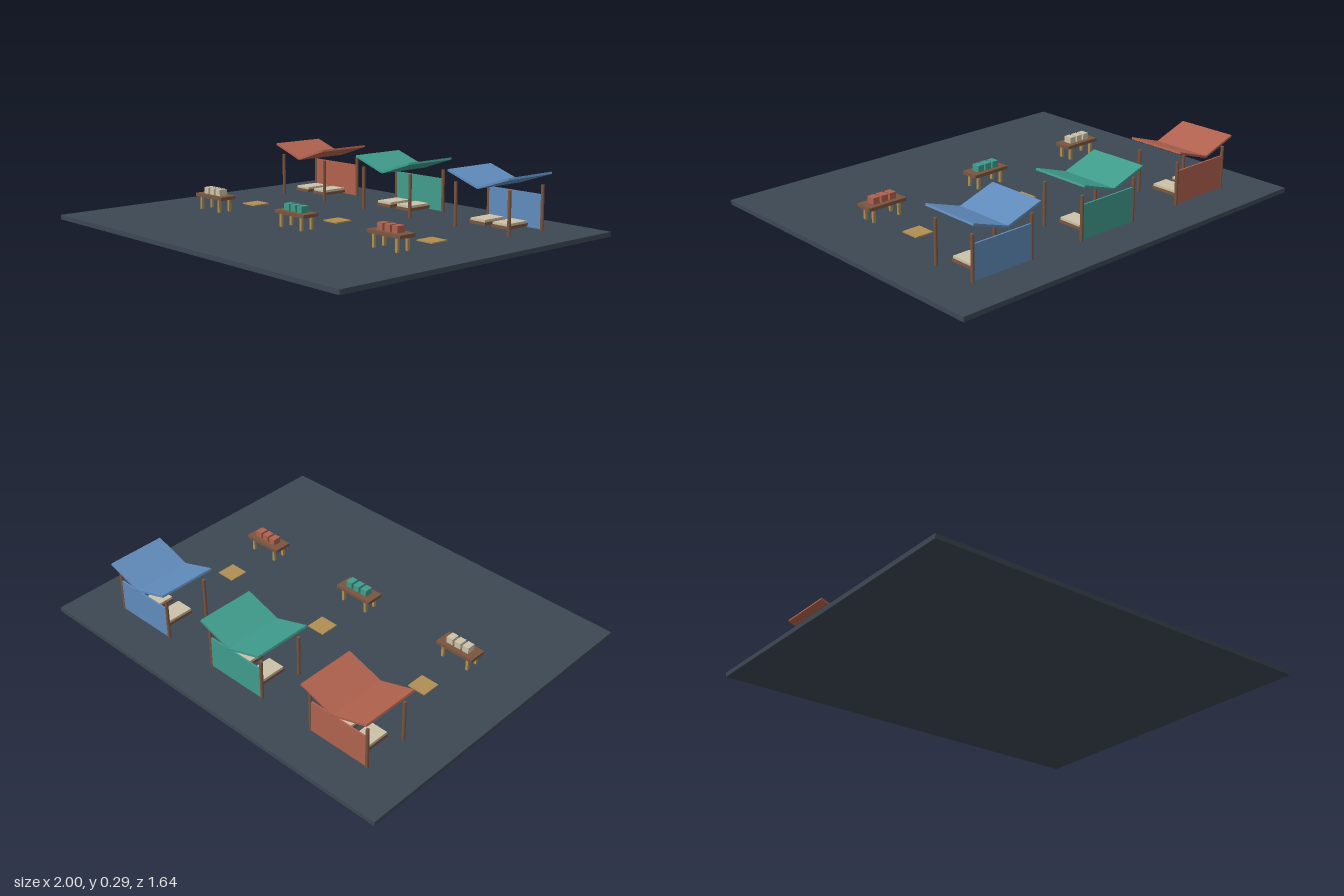
import * as THREE from 'three';

const mat = (color) => new THREE.MeshStandardMaterial({ color });

export function createModel() {
  const model = new THREE.Group();
  model.name = 'marketSquare';

  const ground = mat(0x3d4853), wood = mat(0x7a553f), tan = mat(0xb08f52), cream = mat(0xcdc2a8);
  const red = mat(0xb0624e), teal = mat(0x3f9c8c), blue = mat(0x5f8bbb);

  const add = (parent, name, geometry, material, x, y, z) => {
    const mesh = new THREE.Mesh(geometry, material);
    mesh.name = name;
    mesh.position.set(x, y, z);
    parent.add(mesh);
    return mesh;
  };
  const box = (parent, name, [w, h, d], material, x, y, z) =>
    add(parent, name, new THREE.BoxGeometry(w, h, d), material, x, y, z);

  const floor = 0.022;
  box(model, 'ground', [2, floor, 1.636], ground, 0, floor / 2, 0);

  // Covered shelter: posts, V-shaped roof, back cloth and two benches
  const makeShelter = (cloth) => {
    const g = new THREE.Group();
    g.name = 'shelter';
    const post = new THREE.CylinderGeometry(0.008, 0.008, 0.208, 8);
    for (const s of [-1, 1]) {
      for (const z of [-0.113, 0.113]) add(g, 'post', post, wood, s * 0.16, floor + 0.104, z);
      const panel = box(g, 'roofPanel', [0.19, 0.01, 0.292], cloth, s * 0.0915, 0.254, 0);
      panel.rotation.z = s * 0.32;
      box(g, 'benchBase', [0.094, 0.014, 0.138], wood, s * 0.067, 0.047, -0.001);
      box(g, 'benchCushion', [0.088, 0.011, 0.13], cream, s * 0.067, 0.0595, -0.001);
    }
    box(g, 'backCloth', [0.312, 0.16, 0.008], cloth, 0, 0.106, -0.113);
    g.position.z = -0.498;
    return g;
  };

  // Display table with three goods
  const makeTable = (goods) => {
    const g = new THREE.Group();
    g.name = 'table';
    box(g, 'tableTop', [0.203, 0.016, 0.09], wood, 0, 0.092, 0);
    for (const x of [-0.07, 0.07])
      for (const z of [-0.03, 0.03]) box(g, 'tableLeg', [0.013, 0.062, 0.013], tan, x, floor + 0.031, z);
    for (const i of [-1, 0, 1]) box(g, 'goods', [0.034, 0.031, 0.043], goods, i * 0.045, 0.1155, 0);
    g.position.z = 0.182;
    return g;
  };

  // Three stalls in a row
  [[-0.613, red, cream], [0, teal, teal], [0.613, blue, red]].forEach(([x, cloth, goods]) => {
    const stall = new THREE.Group();
    stall.name = 'stall';
    stall.add(makeShelter(cloth), makeTable(goods));
    box(stall, 'mat', [0.094, 0.006, 0.094], tan, 0, floor + 0.003, -0.068);
    stall.position.x = x;
    model.add(stall);
  });

  return model;
}
